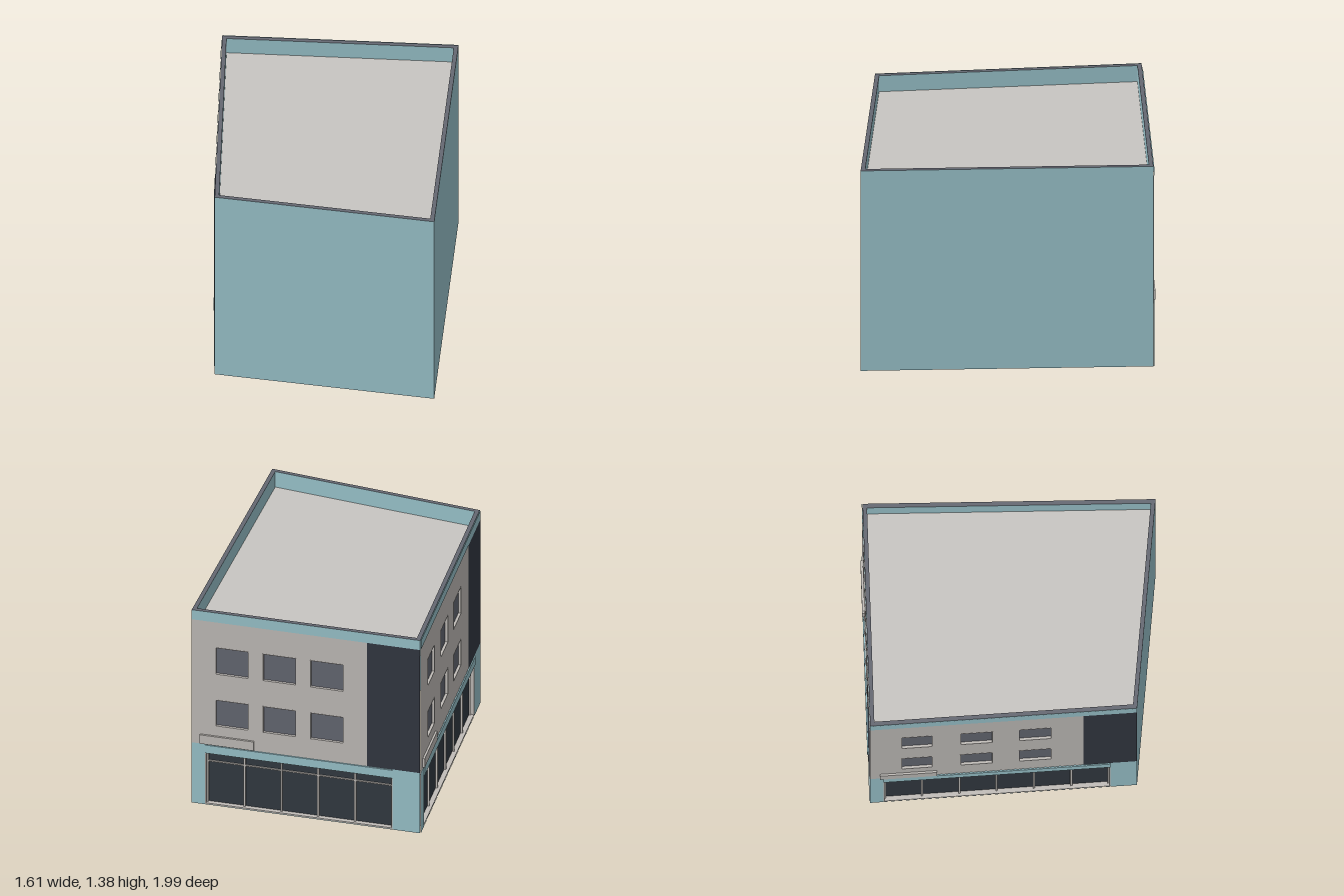
import * as THREE from 'three';

const mat = (name, color) => new THREE.MeshStandardMaterial({ name, color, side: THREE.DoubleSide });
const teal = mat('teal render', 0x9ac4cc);
const stone = mat('pale stone', 0xc1bdb9);
const roofMat = mat('roof grey', 0xc8c6c2);
const slate = mat('slate grey', 0x656872);
const panelMat = mat('dark panel', 0x333842);
const shopGlass = mat('shop glass', 0x323a42);

const HEIGHT = 1.375, ROOF = 1.265, BAND = 0.43, CORNICE = 1.31, SHOP_TOP = 0.37;

// Plan corners as (x, z), in order so that each wall faces outward
const A = new THREE.Vector2(-0.65, -0.995), D = new THREE.Vector2(-0.805, 0.655);
const C = new THREE.Vector2(0.535, 0.995), B = new THREE.Vector2(0.803, -0.8);
const plan = [A, D, C, B];

function add(parent, name, geometry, material, x = 0, y = 0, z = 0) {
  const mesh = new THREE.Mesh(geometry, material);
  mesh.name = name;
  mesh.position.set(x, y, z);
  parent.add(mesh);
  return mesh;
}

const rectPoints = ([x0, x1, y0, y1]) =>
  [[x0, y0], [x1, y0], [x1, y1], [x0, y1]].map(p => new THREE.Vector2(...p));

function rectShape(rect, holes = []) {
  const shape = new THREE.Shape(rectPoints(rect));
  holes.forEach(h => shape.holes.push(new THREE.Path(rectPoints(h))));
  return shape;
}

const plate = (parent, name, rect, material, z, holes) =>
  add(parent, name, new THREE.ShapeGeometry(rectShape(rect, holes)), material, 0, 0, z);

function block(parent, name, [x0, x1, y0, y1], z0, z1, material) {
  add(parent, name, new THREE.BoxGeometry(x1 - x0, y1 - y0, z1 - z0), material,
    (x0 + x1) / 2, (y0 + y1) / 2, (z0 + z1) / 2);
}

// Recessed opening: lining around the edge and glass at the back
function opening(parent, name, rect, depth, lining, glass) {
  const [x0, x1, y0, y1] = rect;
  const ring = rectShape(rect, [[x0 + lining, x1 - lining, y0 + lining, y1 - lining]]);
  add(parent, name + 'Lining', new THREE.ExtrudeGeometry(ring, { depth, bevelEnabled: false }),
    stone, 0, 0, 0.003 - depth);
  plate(parent, name + 'Glass', rect, glass, 0.004 - depth);
}

// Local frame for a wall: x along it, y up, z outward
function wallGroup(name, from, to) {
  const group = new THREE.Group();
  group.name = name;
  group.position.set(from.x, 0, from.y);
  group.rotation.y = Math.atan2(from.y - to.y, to.x - from.x);
  return { group, length: from.distanceTo(to) };
}

// Street facade; horizontal positions are fractions of its length
function facade(name, from, to, { windows, panel, shop, panes, sign }) {
  const { group, length: L } = wallGroup(name, from, to);
  const shopRect = [shop[0] * L, shop[1] * L, 0.004, SHOP_TOP];
  const windowRects = [];
  for (const [y0, y1] of [[0.565, 0.755], [0.935, 1.13]])
    for (const [a, b] of windows) windowRects.push([a * L, b * L, y0, y1]);

  plate(group, 'facadeWall', [0, L, 0, CORNICE], stone, 0.002, [shopRect, ...windowRects]);
  windowRects.forEach(r => opening(group, 'window', r, 0.018, 0.004, slate));

  // Teal bands and the dark corner panel
  plate(group, 'shopSurround', [0, L, 0, BAND], teal, 0.005, [shopRect]);
  plate(group, 'corniceBand', [0, L, CORNICE, HEIGHT], teal, 0.005);
  plate(group, 'cornerPanel', [panel * L, L, BAND, CORNICE], panelMat, 0.005);

  // Shopfront with mullions and transom
  const [s0, s1] = shopRect, back = -0.027;
  opening(group, 'shopfront', shopRect, 0.032, 0.006, shopGlass);
  for (let i = 0; i <= panes; i++) {
    const x = THREE.MathUtils.lerp(s0 + 0.01, s1 - 0.01, i / panes);
    block(group, 'shopMullion', [x - 0.006, x + 0.006, 0.01, SHOP_TOP - 0.006], back, back + 0.012, stone);
  }
  block(group, 'shopTransom', [s0 + 0.006, s1 - 0.006, 0.297, 0.305], back, back + 0.01, stone);
  block(group, 'shopFascia', [s0, s1, SHOP_TOP, BAND - 0.003], 0.003, 0.012, teal);

  // Blank sign board
  block(group, 'signBoard', [sign[0] * L, sign[1] * L, BAND + 0.004, 0.497], 0.002, 0.015, stone);
  return group;
}

// Plan outline moved inward by d with mitred corners
function inset(points, d) {
  return points.map((p, i) => {
    const prev = points[(i + points.length - 1) % points.length];
    const next = points[(i + 1) % points.length];
    const e1 = p.clone().sub(prev).normalize(), e2 = next.clone().sub(p).normalize();
    const n1 = new THREE.Vector2(e1.y, -e1.x), n2 = new THREE.Vector2(e2.y, -e2.x);
    return n1.clone().add(n2).multiplyScalar(d / (1 + n1.dot(n2))).add(p);
  });
}

export function createModel() {
  const model = new THREE.Group();
  model.name = 'cornerBuilding';

  // Plain party walls
  for (const [name, from, to] of [['frontWall', D, C], ['leftWall', C, B]]) {
    const { group, length } = wallGroup(name, from, to);
    plate(group, name + 'Face', [0, length, 0, ROOF], teal, 0);
    model.add(group);
  }

  // Street facades
  model.add(facade('backFacade', B, A, {
    windows: [[0.104, 0.25], [0.311, 0.457], [0.518, 0.665]],
    panel: 0.768, shop: [0.06, 0.88], panes: 5, sign: [0.037, 0.274],
  }));
  model.add(facade('rightFacade', A, D, {
    windows: [[0.117, 0.235], [0.337, 0.46], [0.558, 0.68]],
    panel: 0.8, shop: [0.05, 0.9], panes: 6, sign: [0.037, 0.25],
  }));

  // Parapet with grey coping, and the flat roof inside it
  const inner = inset(plan, 0.027);
  const ring = new THREE.Shape(plan);
  ring.holes.push(new THREE.Path(inner));
  const parapet = new THREE.ExtrudeGeometry(ring, { depth: HEIGHT - ROOF, bevelEnabled: false });
  add(model, 'parapet', parapet.rotateX(Math.PI / 2), [slate, teal], 0, HEIGHT, 0);
  const roof = new THREE.ShapeGeometry(new THREE.Shape(inner)).rotateX(Math.PI / 2);
  add(model, 'roof', roof, roofMat, 0, ROOF, 0);
  return model;
}
